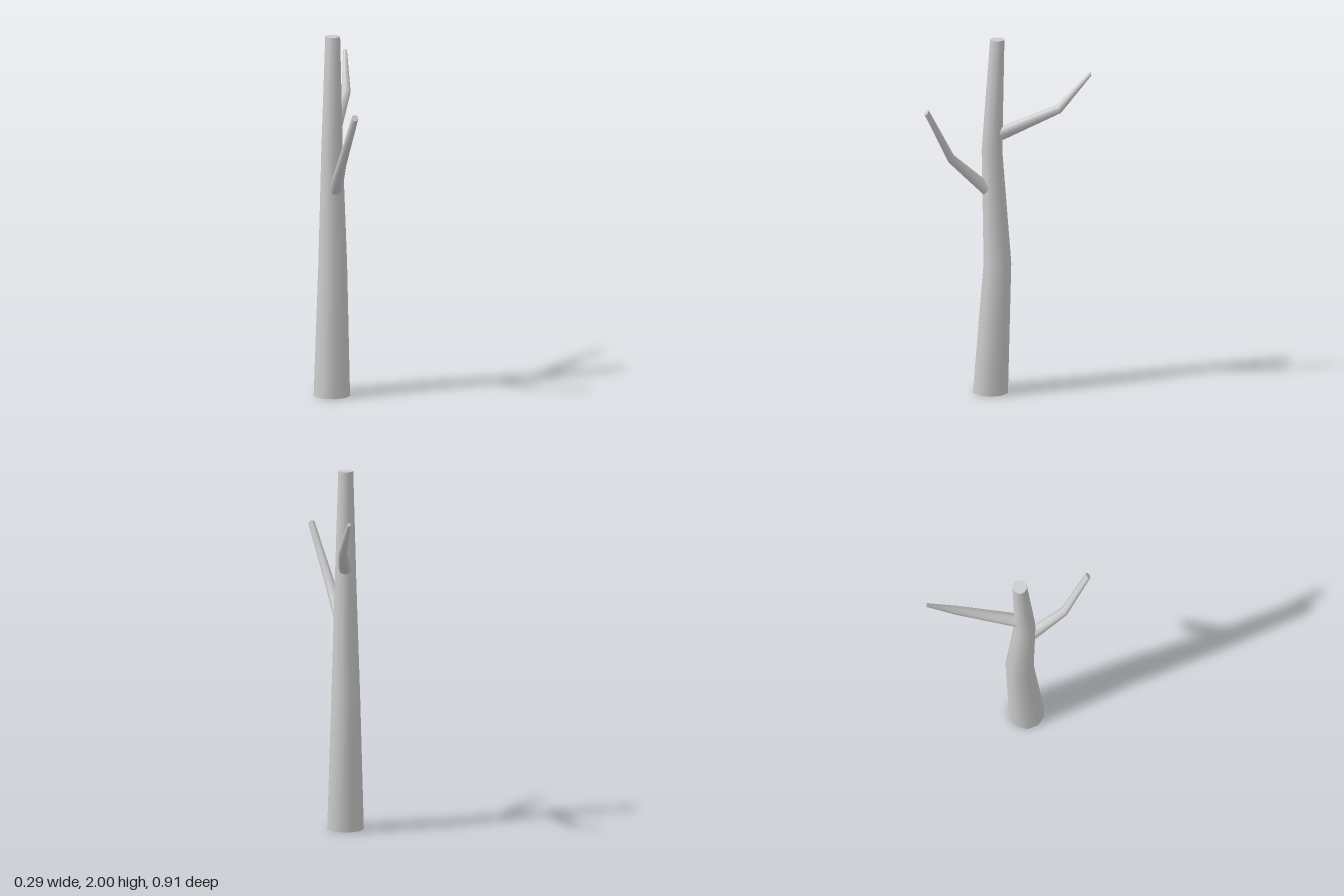
import * as THREE from 'three';
import { toCreasedNormals } from 'three/addons/utils/BufferGeometryUtils.js';

const material = new THREE.MeshStandardMaterial({ color: 0xcccccc });

// Tapered limb: a cylinder whose rings are moved to [x, y, z, radius],
// all rings facing along the given direction.
function limb(name, sides, facing, rings) {
  const geometry = new THREE.CylinderGeometry(1, 1, 1, sides, rings.length - 1);
  geometry.rotateY(Math.PI / 2);
  const turn = new THREE.Quaternion().setFromUnitVectors(
    new THREE.Vector3(0, 1, 0), new THREE.Vector3(...facing).normalize());
  const position = geometry.attributes.position;
  const p = new THREE.Vector3();
  for (let i = 0; i < position.count; i++) {
    p.fromBufferAttribute(position, i);
    const [x, y, z, r] = rings[Math.round((p.y + 0.5) * (rings.length - 1))];
    p.setY(0).multiplyScalar(r).applyQuaternion(turn);
    position.setXYZ(i, p.x + x, p.y + y, p.z + z);
  }
  const mesh = new THREE.Mesh(toCreasedNormals(geometry, 1), material);
  mesh.name = name;
  return mesh;
}

export function createModel() {
  const tree = new THREE.Group();
  tree.name = 'bareTree';

  // Gently bent trunk, cut flat at the top
  tree.add(limb('trunk', 10, [0, 1, 0], [
    [-0.047, 0, 0.095, 0.1],
    [-0.047, 0.73, 0.057, 0.079],
    [-0.047, 1.37, 0.087, 0.059],
    [-0.047, 2, 0.058, 0.041],
  ]));

  // Lower branch, reaching forward
  tree.add(limb('frontBranch', 7, [0.25, 0.55, 0.8], [
    [-0.022, 1.16, 0.12, 0.036],
    [0.035, 1.345, 0.31, 0.026],
    [0.125, 1.635, 0.445, 0.019],
  ]));

  // Upper branch, reaching backward
  tree.add(limb('backBranch', 7, [0, 0.4, -0.9], [
    [-0.042, 1.465, 0.04, 0.039],
    [-0.018, 1.613, -0.28, 0.026],
    [-0.045, 1.805, -0.452, 0.011],
  ]));

  return tree;
}
